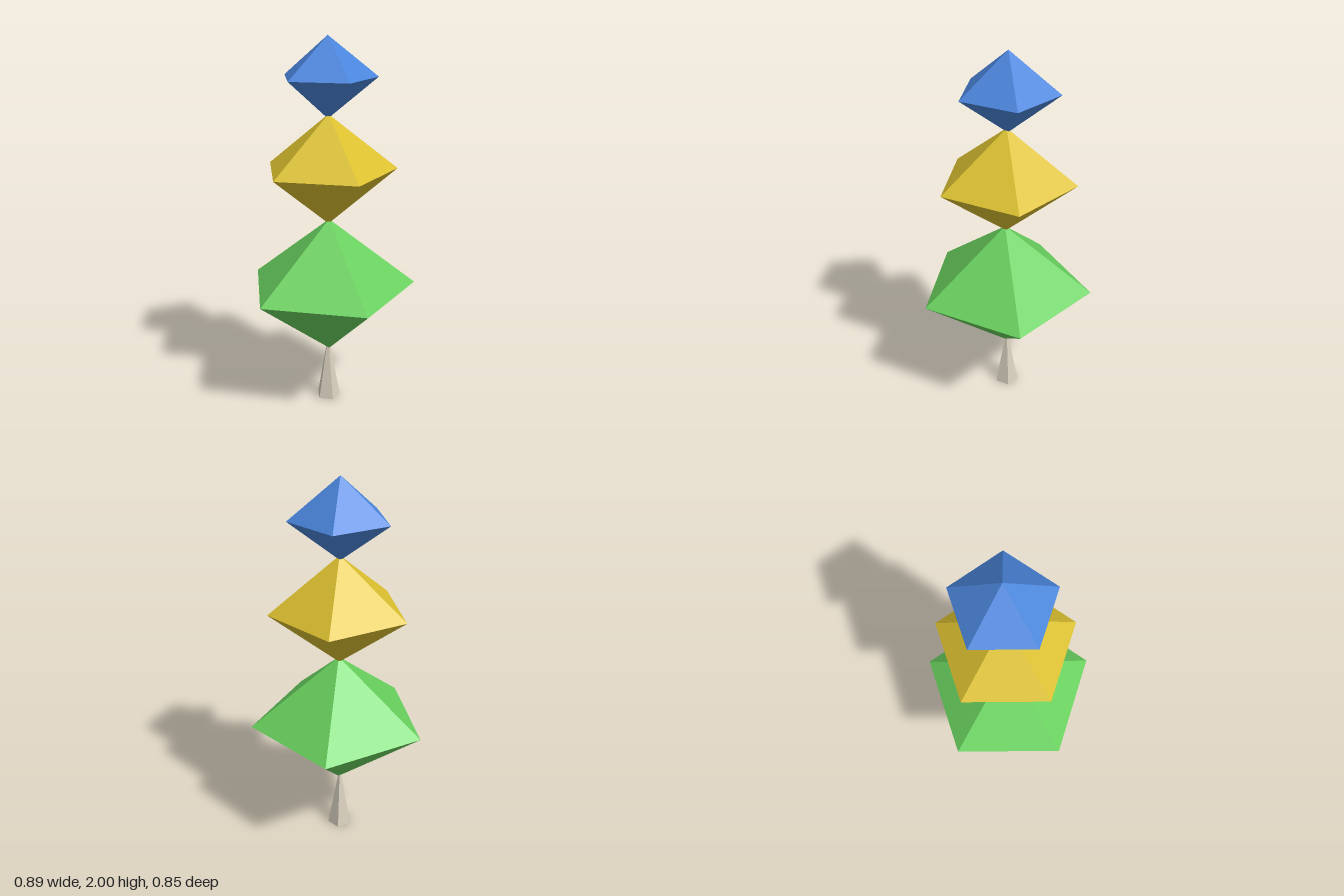
import * as THREE from 'three';
import { mergeGeometries } from 'three/addons/utils/BufferGeometryUtils.js';

const SIDES = 5;

function flatMaterial(name, color) {
  const material = new THREE.MeshStandardMaterial({ color, flatShading: true });
  material.name = name;
  return material;
}

// Two open cones joined base to base, with one corner facing the front
function bipyramid(radius, halfHeight) {
  const upper = new THREE.ConeGeometry(radius, halfHeight, SIDES, 1, true);
  upper.translate(0, halfHeight / 2, 0);
  const lower = upper.clone().rotateZ(Math.PI);
  return mergeGeometries([upper, lower]);
}

export function createModel() {
  const model = new THREE.Group();
  model.name = 'tree';

  // Slim trunk, open underneath
  const bark = flatMaterial('pale bark', 0xd8cfbe);
  bark.side = THREE.DoubleSide;
  const trunkHeight = 0.37;
  const trunk = new THREE.Mesh(new THREE.ConeGeometry(0.066, trunkHeight, SIDES, 1, true), bark);
  trunk.name = 'trunk';
  trunk.position.set(0, trunkHeight / 2, -0.06);
  model.add(trunk);

  // Three stacked crown tiers, their tips just overlapping
  const tiers = [
    { name: 'lowerCrown', paint: 'leaf green', color: 0x68d05e, radius: 0.47, half: 0.377, y: 0.677, z: -0.045 },
    { name: 'middleCrown', paint: 'golden yellow', color: 0xdbc02f, radius: 0.364, half: 0.291, y: 1.319, z: -0.051 },
    { name: 'upperCrown', paint: 'sky blue', color: 0x4a85db, radius: 0.259, half: 0.207, y: 1.793, z: -0.057 },
  ];
  for (const t of tiers) {
    const crown = new THREE.Mesh(bipyramid(t.radius, t.half), flatMaterial(t.paint, t.color));
    crown.name = t.name;
    crown.position.set(0, t.y, t.z);
    model.add(crown);
  }
  return model;
}
